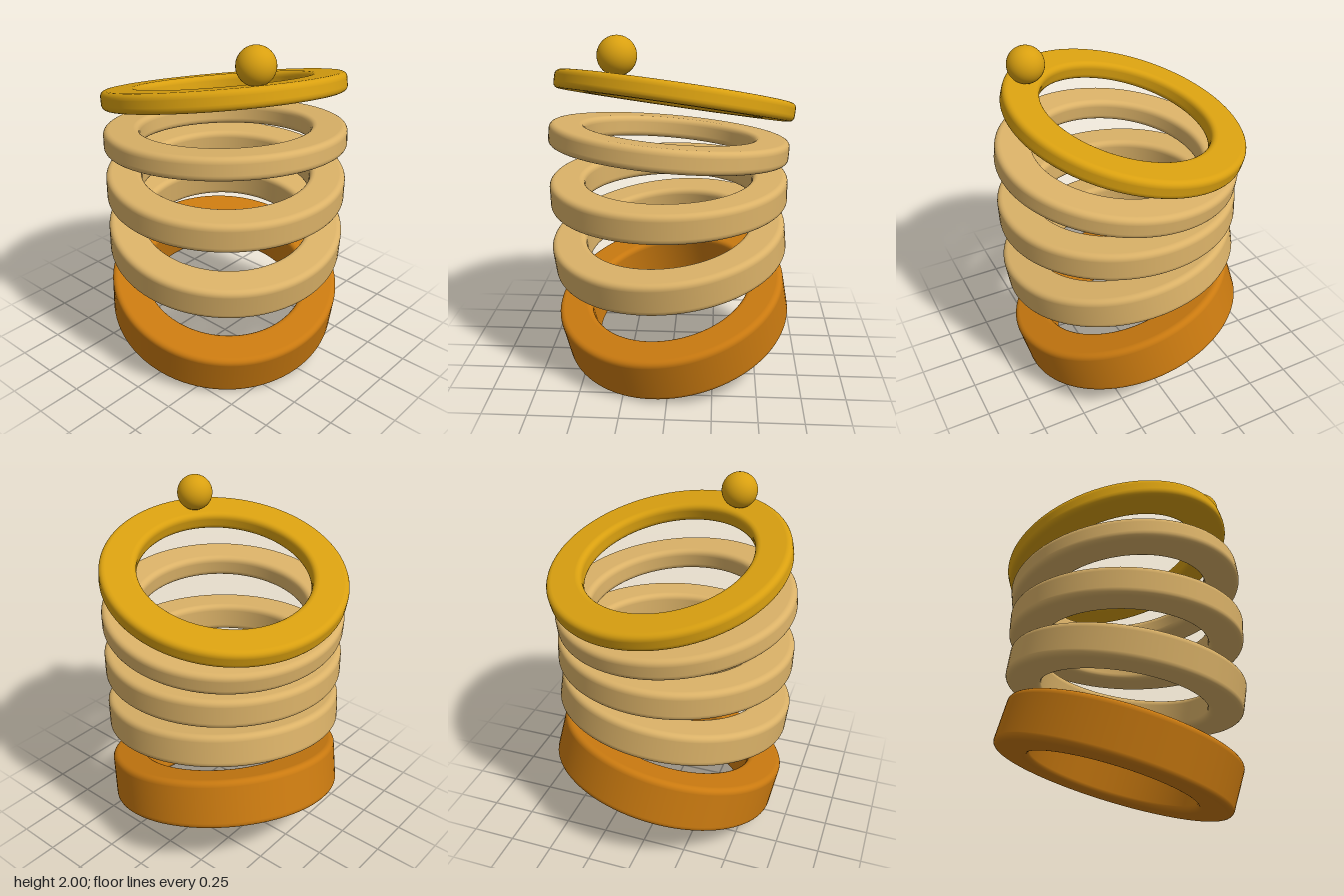
import * as THREE from 'three';

const OUTER = 0.68, INNER = 0.48, BEVEL = 0.03;

// Flat band of height h with rounded edges, turned around y
function ringGeometry(h) {
  const mid = (OUTER + INNER) / 2, steps = 5, inset = 0.004;
  const pts = [new THREE.Vector2(mid, -h / 2)];
  const corners = [
    [OUTER - BEVEL, -h / 2 + BEVEL, -Math.PI / 2],
    [OUTER - BEVEL, h / 2 - BEVEL, 0],
    [INNER + BEVEL, h / 2 - BEVEL, Math.PI / 2],
    [INNER + BEVEL, -h / 2 + BEVEL, Math.PI],
  ];
  for (const [cx, cy, start] of corners) {
    const at = (a, along) => new THREE.Vector2(
      cx + BEVEL * Math.cos(a) - along * Math.sin(a),
      cy + BEVEL * Math.sin(a) + along * Math.cos(a));
    // short lead-in and lead-out keep the flat faces flat when shaded
    pts.push(at(start, -inset));
    for (let i = 0; i <= steps; i++) pts.push(at(start + (i / steps) * Math.PI / 2, 0));
    pts.push(at(start + Math.PI / 2, inset));
  }
  pts.push(pts[0].clone());
  return new THREE.LatheGeometry(pts, 96);
}

export function createModel() {
  const group = new THREE.Group();
  const material = (name, color) => {
    const m = new THREE.MeshStandardMaterial({ color });
    m.name = name;
    return m;
  };
  const amber = material('amber', 0xca7a10);
  const tan = material('tan', 0xdbb268);
  const gold = material('gold', 0xd9a010);

  // Stacked rings: name, material, height, centre, axis
  const rings = [
    ['baseRing', amber, 0.28, [0.007, 0.328, -0.017], [-0.18, 1, 0.25]],
    ['lowerRing', tan, 0.19, [-0.018, 0.755, 0.018], [-0.1, 1, 0.13]],
    ['middleRing', tan, 0.165, [-0.02, 1.078, 0.022], [-0.02, 1, 0.025]],
    ['upperRing', tan, 0.125, [-0.018, 1.358, 0.018], [0.08, 1, -0.096]],
    ['topRing', gold, 0.105, [0.012, 1.606, -0.02], [0.135, 1, -0.235]],
  ];
  const up = new THREE.Vector3(0, 1, 0);
  for (const [name, mat, h, centre, axis] of rings) {
    const ring = new THREE.Mesh(ringGeometry(h), mat);
    ring.name = name;
    ring.position.set(...centre);
    ring.quaternion.setFromUnitVectors(up, new THREE.Vector3(...axis).normalize());
    group.add(ring);
  }

  // Ball resting on the top ring
  const ball = new THREE.Mesh(new THREE.SphereGeometry(0.102, 40, 28), gold);
  ball.name = 'ball';
  ball.position.set(-0.255, 1.898, 0.432);
  group.add(ball);
  return group;
}
